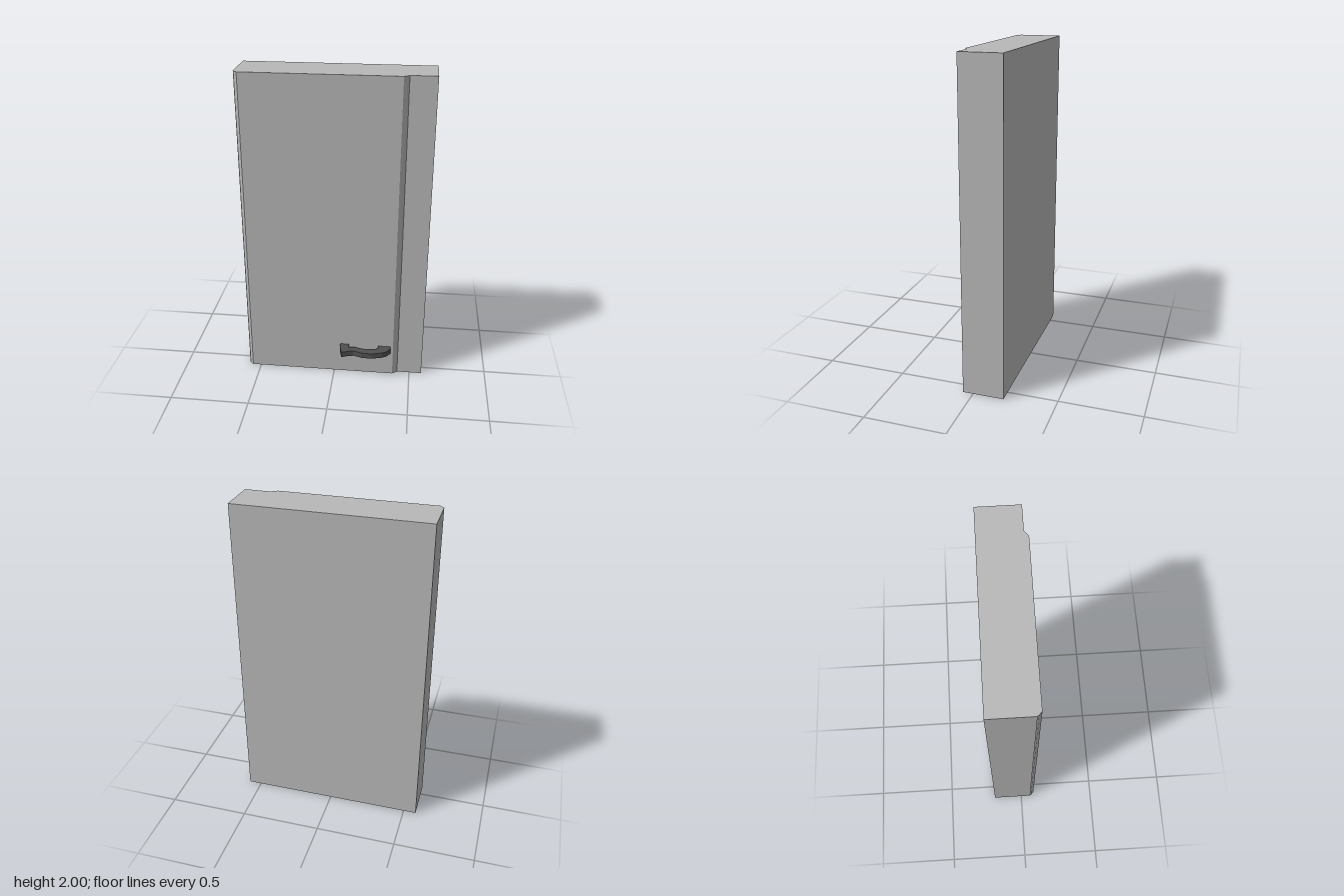
import * as THREE from 'three';

// Extrudes a plan outline of [x, z] points upward from y = bottom.
function extrudePlan(points, bottom, height) {
  const shape = new THREE.Shape(points.map(([x, z]) => new THREE.Vector2(x, -z)));
  const geometry = new THREE.ExtrudeGeometry(shape, { depth: height, bevelEnabled: false });
  geometry.rotateX(-Math.PI / 2);
  geometry.translate(0, bottom, 0);
  return geometry;
}

export function createModel() {
  const group = new THREE.Group();
  const panelGrey = new THREE.MeshStandardMaterial({ color: 0xb8b8b8 });
  panelGrey.name = 'panel grey';
  const handleGrey = new THREE.MeshStandardMaterial({ color: 0x505050 });
  handleGrey.name = 'handle dark grey';

  const add = (name, geometry, material) => {
    const mesh = new THREE.Mesh(geometry, material);
    mesh.name = name;
    group.add(mesh);
  };

  // Cabinet body
  const back = -0.19, front = 0.064;
  const body = new THREE.BoxGeometry(1.16, 2, front - back);
  body.translate(0, 1, (front + back) / 2);
  add('cabinetBody', body, panelGrey);

  // Door with bevelled long edges
  add('door', extrudePlan([
    [-0.578, front], [-0.575, 0.072], [-0.555, 0.089],
    [0.388, 0.089], [0.41, 0.074], [0.42, front],
  ], 0, 2), panelGrey);

  // Wavy pull handle with two feet on the door
  add('handle', extrudePlan([
    [0.04, 0.087], [0.042, 0.125], [0.057, 0.188], [0.098, 0.172],
    [0.135, 0.163], [0.188, 0.181], [0.25, 0.184], [0.29, 0.173],
    [0.32, 0.165], [0.347, 0.149], [0.372, 0.113], [0.372, 0.087],
    [0.29, 0.087], [0.29, 0.119], [0.247, 0.131], [0.194, 0.131],
    [0.135, 0.118], [0.098, 0.124], [0.098, 0.087],
  ], 0.175, 0.037), handleGrey);

  return group;
}
